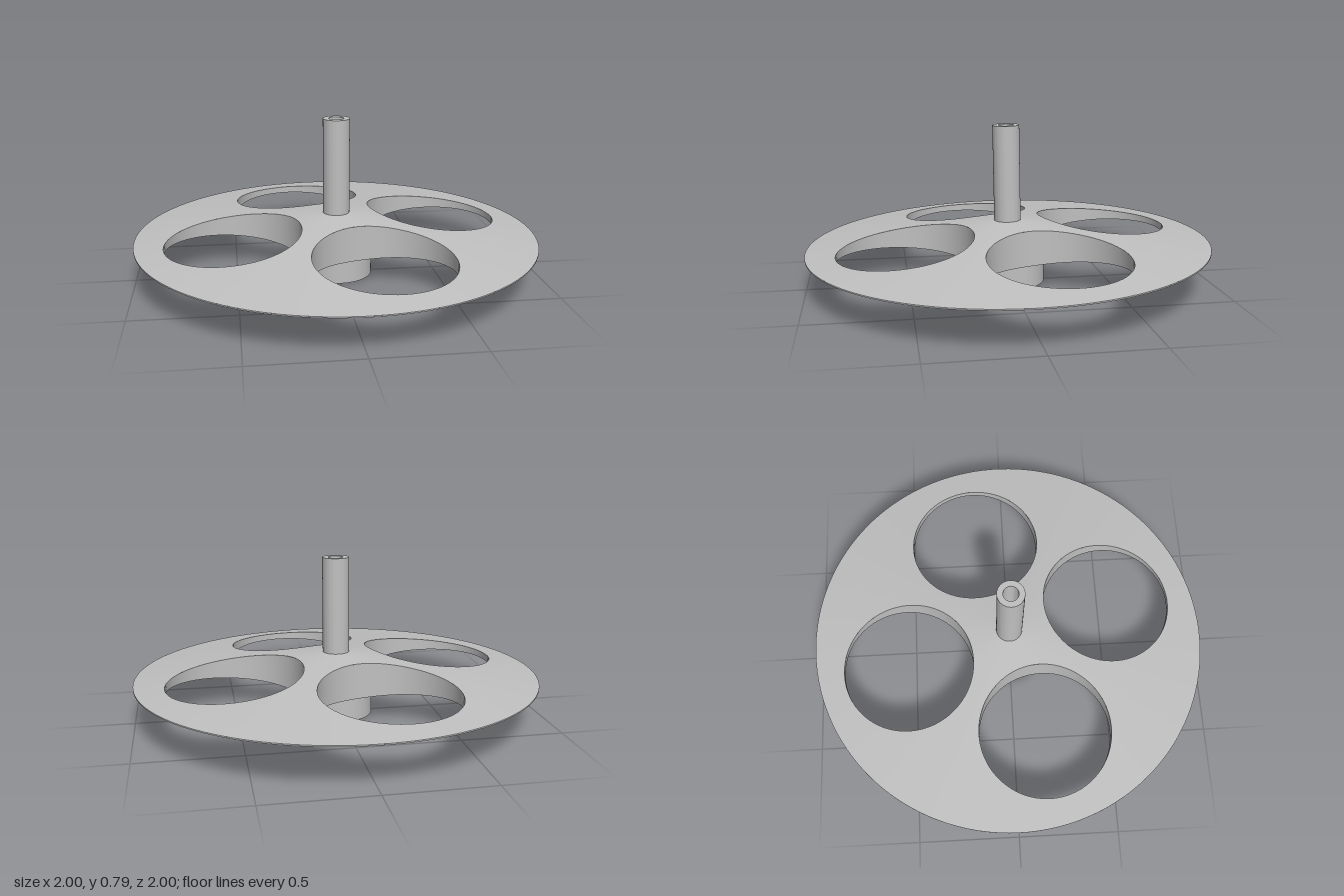
import * as THREE from 'three';
import { toCreasedNormals } from 'three/addons/utils/BufferGeometryUtils.js';

const HOLE_DIST = 0.54, HOLE_R = 0.33, RIM_TOP = 0.201, RIM_BOTTOM = 0.195;

// Grid surface: fn(i, j) returns [position, normal]
function grid(nu, nv, fn, flip) {
  const pos = [], nor = [], idx = [];
  for (let i = 0; i <= nu; i++) {
    for (let j = 0; j <= nv; j++) {
      const [p, n] = fn(i, j);
      pos.push(...p);
      nor.push(...new THREE.Vector3(...n).normalize().toArray());
      if (i < nu && j < nv) {
        const a = i * (nv + 1) + j, b = a + nv + 1;
        if (flip) idx.push(a, a + 1, b, b, a + 1, b + 1);
        else idx.push(a, b, a + 1, b, b + 1, a + 1);
      }
    }
  }
  const g = new THREE.BufferGeometry();
  g.setAttribute('position', new THREE.Float32BufferAttribute(pos, 3));
  g.setAttribute('normal', new THREE.Float32BufferAttribute(nor, 3));
  g.setIndex(idx);
  return g;
}

// Outline of a quarter sector as [x, z] points, running around the hole
function sectorOutline(inner) {
  const pts = [], q = Math.PI / 4, N = 32;
  const add = (r, a) => pts.push([r * Math.cos(a), r * Math.sin(a)]);
  for (let i = 0; i < N; i++) add(1, -q + 2 * q * i / N);
  for (let i = 0; i < N; i++) add(1 + (inner - 1) * i / N, q);
  for (let i = 0; i < N; i++) add(inner, q - 2 * q * i / N);
  for (let i = 0; i <= N; i++) add(inner + (1 - inner) * i / N, -q);
  return pts;
}

// Height of a straight cone from (r0, y0) to the rim
const cone = (r, r0, y0, rimY) => y0 + (rimY - y0) * (r - r0) / (1 - r0);
const topY = r => cone(r, 0.066, 0.318, RIM_TOP);
const bottomY = r => cone(r, 0.178, 0.122, RIM_BOTTOM);

// Quarter of a conical face, pierced by one round hole
function sectorFace(inner, height, up) {
  const outline = sectorOutline(inner), steps = 8;
  const slope = height(1) - height(0);
  return grid(outline.length - 1, steps, (i, j) => {
    const [bx, bz] = outline[i], a = Math.atan2(bz, bx - HOLE_DIST), t = j / steps;
    const x = THREE.MathUtils.lerp(HOLE_DIST + HOLE_R * Math.cos(a), bx, t);
    const z = THREE.MathUtils.lerp(HOLE_R * Math.sin(a), bz, t);
    const r = Math.hypot(x, z), s = up ? 1 : -1;
    return [[x, height(r), z], [-s * slope * x / r, s, -s * slope * z / r]];
  }, !up);
}

// Inner wall of a hole
function holeWall() {
  return grid(96, 1, (i, j) => {
    const a = i / 96 * Math.PI * 2, c = Math.cos(a), s = Math.sin(a);
    const x = HOLE_DIST + HOLE_R * c, z = HOLE_R * s, r = Math.hypot(x, z);
    return [[x, j ? topY(r) : bottomY(r), z], [-c, 0, -s]];
  });
}

// Upright round bar with a round or polygonal bore
function tube(radius, bore, sides, y0, y1) {
  const shape = new THREE.Shape().absarc(0, 0, radius, 0, Math.PI * 2);
  const pts = [];
  for (let i = 0; i < sides; i++) {
    const a = Math.PI / 2 + i / sides * Math.PI * 2;
    pts.push(new THREE.Vector2(bore * Math.cos(a), bore * Math.sin(a)));
  }
  shape.holes.push(new THREE.Path(pts));
  const g = new THREE.ExtrudeGeometry(shape, { depth: y1 - y0, bevelEnabled: false, curveSegments: 64 });
  g.rotateX(-Math.PI / 2).translate(0, y0, 0);
  return toCreasedNormals(g, 0.5);
}

export function createModel() {
  const grey = new THREE.MeshStandardMaterial({ color: 0xc0c0c0 });
  grey.name = 'lightGrey';
  const model = new THREE.Group();
  model.name = 'spinningDisc';

  // Everything leans one degree towards the front about the disc's centre
  const body = new THREE.Group();
  body.name = 'body';
  body.position.y = 0.198;
  body.rotation.x = Math.PI / 180;
  model.add(body);
  const add = (parent, name, geometry) => {
    const mesh = new THREE.Mesh(geometry, grey);
    mesh.name = name;
    parent.add(mesh);
    return mesh;
  };
  const parts = new THREE.Group();
  parts.name = 'parts';
  parts.position.y = -0.198;
  body.add(parts);

  // Disc in four quarters, each with one hole
  const upper = sectorFace(0.06, topY, true);
  const lower = sectorFace(0.15, bottomY, false);
  const wall = holeWall();
  for (let k = 0; k < 4; k++) {
    const quarter = new THREE.Group();
    quarter.name = 'discQuarter' + (k + 1);
    quarter.rotation.y = -THREE.MathUtils.degToRad(73.4 + 90 * k);
    add(quarter, 'upperFace', upper);
    add(quarter, 'lowerFace', lower);
    add(quarter, 'holeWall', wall);
    parts.add(quarter);
  }
  add(parts, 'rim', new THREE.CylinderGeometry(1, 1, RIM_TOP - RIM_BOTTOM, 128, 1, true))
    .position.y = (RIM_TOP + RIM_BOTTOM) / 2;

  // Hub with a hexagonal socket, closed above by a bored plate
  add(parts, 'hub', tube(0.178, 0.131, 6, 0.003, 0.15));
  add(parts, 'socketCeiling', tube(0.15, 0.037, 48, 0.15, 0.18));

  // Hollow stem
  add(parts, 'stem', tube(0.066, 0.037, 48, 0.18, 0.793));
  return model;
}
